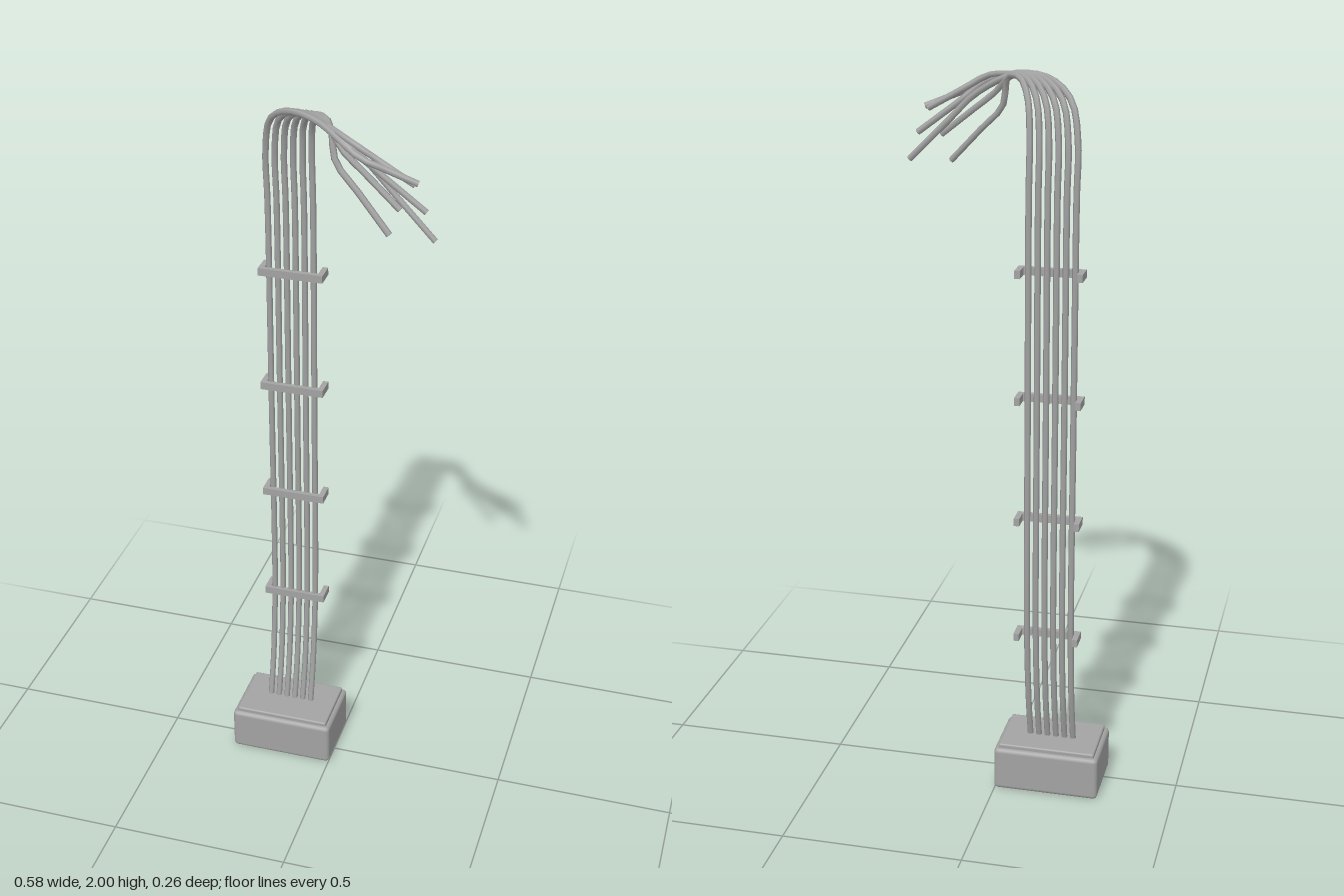
import * as THREE from 'three';
import { RoundedBoxGeometry } from 'three/addons/geometries/RoundedBoxGeometry.js';

export function createModel() {
  const group = new THREE.Group();
  const grey = new THREE.MeshStandardMaterial({ color: 0xa3a3a3 });
  grey.name = 'grey';

  const add = (name, geometry, x = 0, y = 0, z = 0, parent = group) => {
    const mesh = new THREE.Mesh(geometry, grey);
    mesh.name = name;
    mesh.position.set(x, y, z);
    parent.add(mesh);
    return mesh;
  };

  // Junction box with a slightly inset lid
  add('junctionBox', new RoundedBoxGeometry(0.296, 0.126, 0.2, 2, 0.012), -0.146, 0.063, -0.031);
  add('boxLid', new RoundedBoxGeometry(0.272, 0.03, 0.178, 2, 0.005), -0.146, 0.123, -0.031);

  // U-shaped clamps: a front bar and two legs reaching back
  [0.483, 0.824, 1.164, 1.505].forEach((y) => {
    const clamp = new THREE.Group();
    clamp.name = 'cableClamp';
    clamp.position.set(-0.144, y, 0);
    group.add(clamp);
    add('clampBar', new THREE.BoxGeometry(0.177, 0.021, 0.014), 0, 0, -0.084, clamp);
    for (const s of [-1, 1]) {
      add('clampLeg', new THREE.BoxGeometry(0.015, 0.021, 0.042), s * 0.081, 0, -0.111, clamp);
    }
  });

  // Six cables: the bend past the crown and the loose end of each
  const radius = 0.0085;
  const tails = [
    [[0.1, 1.935, 0.122], [0.238, 1.88, 0.106]],
    [[0.08, 1.945, 0.11], [0.26, 1.81, 0.106]],
    [[0.07, 1.965, 0.1], [0.23, 1.875, 0.104]],
    [[0.1, 1.918, 0.085], [0.284, 1.738, 0.106]],
    [[0.04, 1.93, 0.07], [0.194, 1.808, 0.104]],
    [[0.02, 1.895, 0.06], [0.169, 1.74, 0.106]],
  ];
  tails.forEach(([kink, end], i) => {
    const x = -0.207 + i * 0.0245;
    const hub = [-0.03 + i * 0.006, 1.985 - i * 0.002, 0.044 - i * 0.002];
    const crown = [x + (hub[0] - x) * 0.46, 1.98, -0.015];
    const middle = kink.map((v, k) => v + (end[k] - v) * 0.4);
    const points = [
      [x, 0.125, -0.034], [x, 0.26, -0.065], [x, 0.4, -0.084], [x, 0.55, -0.094],
      [x, 1.1, -0.095], [x, 1.7, -0.095], [x, 1.84, -0.087],
      [x + (hub[0] - x) * 0.12, 1.935, -0.062], crown, hub, kink, middle, end,
    ].map((p) => new THREE.Vector3(...p));
    const curve = new THREE.CatmullRomCurve3(points);
    add('cable', new THREE.TubeGeometry(curve, 70, radius, 6), 0, 0, 0);

    // Flat tip closing the loose end
    const tip = add('cableTip', new THREE.CircleGeometry(radius, 6), ...end);
    tip.quaternion.setFromUnitVectors(new THREE.Vector3(0, 0, 1), curve.getTangent(1));
  });

  return group;
}
